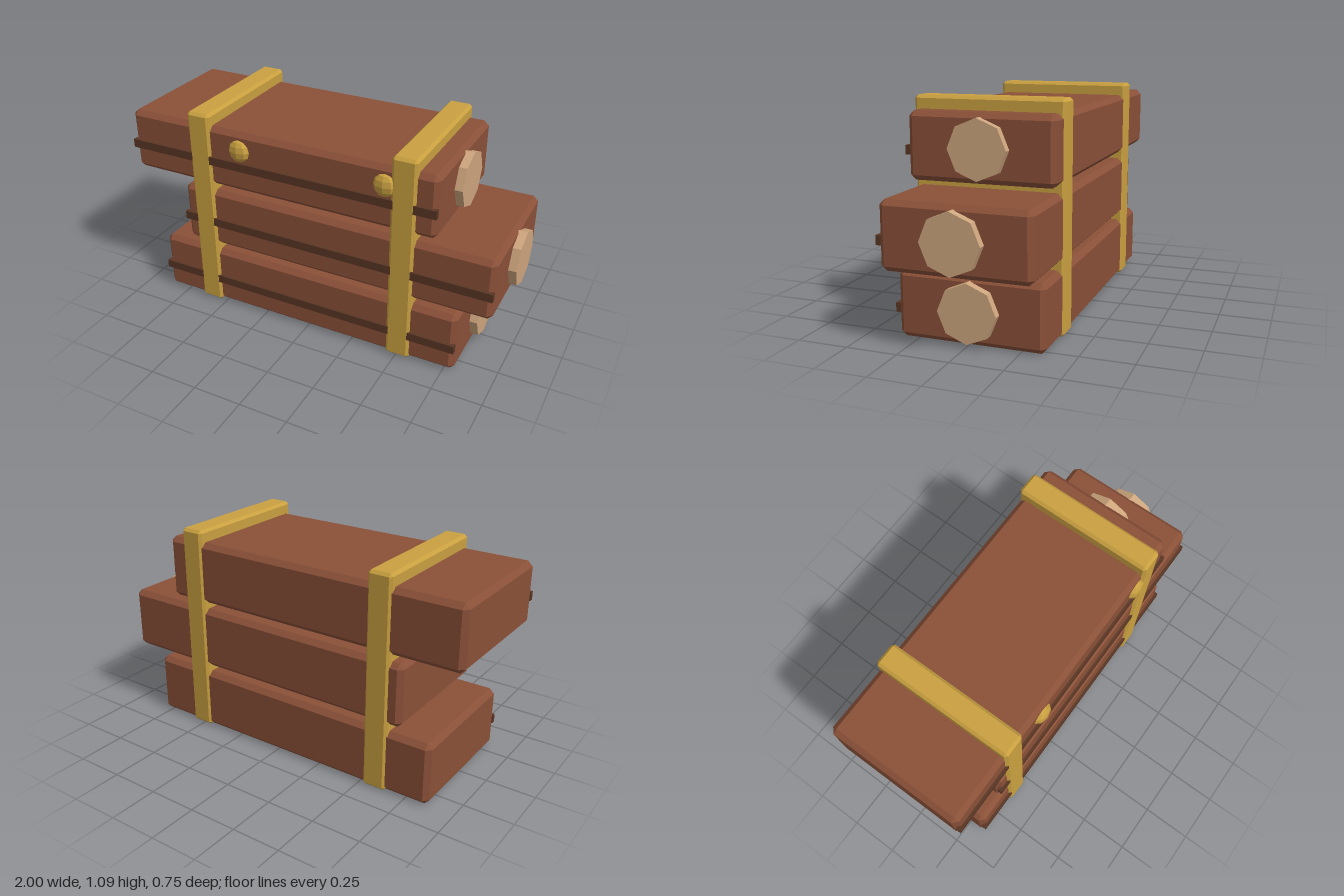
import * as THREE from 'three';
import { ConvexGeometry } from 'three/addons/geometries/ConvexGeometry.js';

const mat = (name, color) => {
  const m = new THREE.MeshStandardMaterial({ color, flatShading: true });
  m.name = name;
  return m;
};

// Box with every edge cut by a flat chamfer c
function chamferBox(w, h, d, c) {
  const pts = [];
  for (const x of [-1, 1]) for (const y of [-1, 1]) for (const z of [-1, 1]) {
    for (let axis = 0; axis < 3; axis++) {
      const inset = [c, c, c];
      inset[axis] = 0;
      pts.push(new THREE.Vector3(
        x * (w / 2 - inset[0]), y * (h / 2 - inset[1]), z * (d / 2 - inset[2])));
    }
  }
  return new ConvexGeometry(pts);
}

export function createModel() {
  const model = new THREE.Group();
  model.name = 'strappedBeams';
  const wood = mat('brown', 0x8a5038);
  const dark = mat('darkBrown', 0x5a3624);
  const gold = mat('gold', 0xc9a040);
  const pale = mat('paleWood', 0xcda57d);

  const add = (name, geometry, material, x, y, z) => {
    const mesh = new THREE.Mesh(geometry, material);
    mesh.name = name;
    mesh.position.set(x, y, z);
    model.add(mesh);
    return mesh;
  };

  // Three staggered beams, each with a front band and an octagonal end cap
  const length = 1.67;
  const beamGeo = chamferBox(length, 0.32, 0.71, 0.025);
  const bandGeo = new THREE.BoxGeometry(length, 0.044, 0.025);
  const capGeo = new THREE.CylinderGeometry(0.141, 0.141, 0.06, 8).rotateZ(Math.PI / 2);
  [-0.035, 0.125, -0.165].forEach((x, i) => {
    const y = 0.162 + i * 0.354;
    add('beam', beamGeo, wood, x, y, -0.01);
    add('frontBand', bandGeo, dark, x, y - 0.02, 0.3445);
    add('endCap', capGeo, pale, x + length / 2 + 0.01, y + 0.001, -0.01);
  });

  // Two straps running around the whole stack
  const strapGeo = chamferBox(0.125, 1.088, 0.733, 0.014);
  for (const x of [-0.585, 0.508]) add('strap', strapGeo, gold, x, 0.549, -0.0085);

  // Flattened studs on the front of the top beam
  const studGeo = new THREE.SphereGeometry(0.058, 8, 6).scale(1, 1, 0.55);
  for (const x of [-0.36, 0.412]) add('stud', studGeo, gold, x, 0.935, 0.344);

  return model;
}
